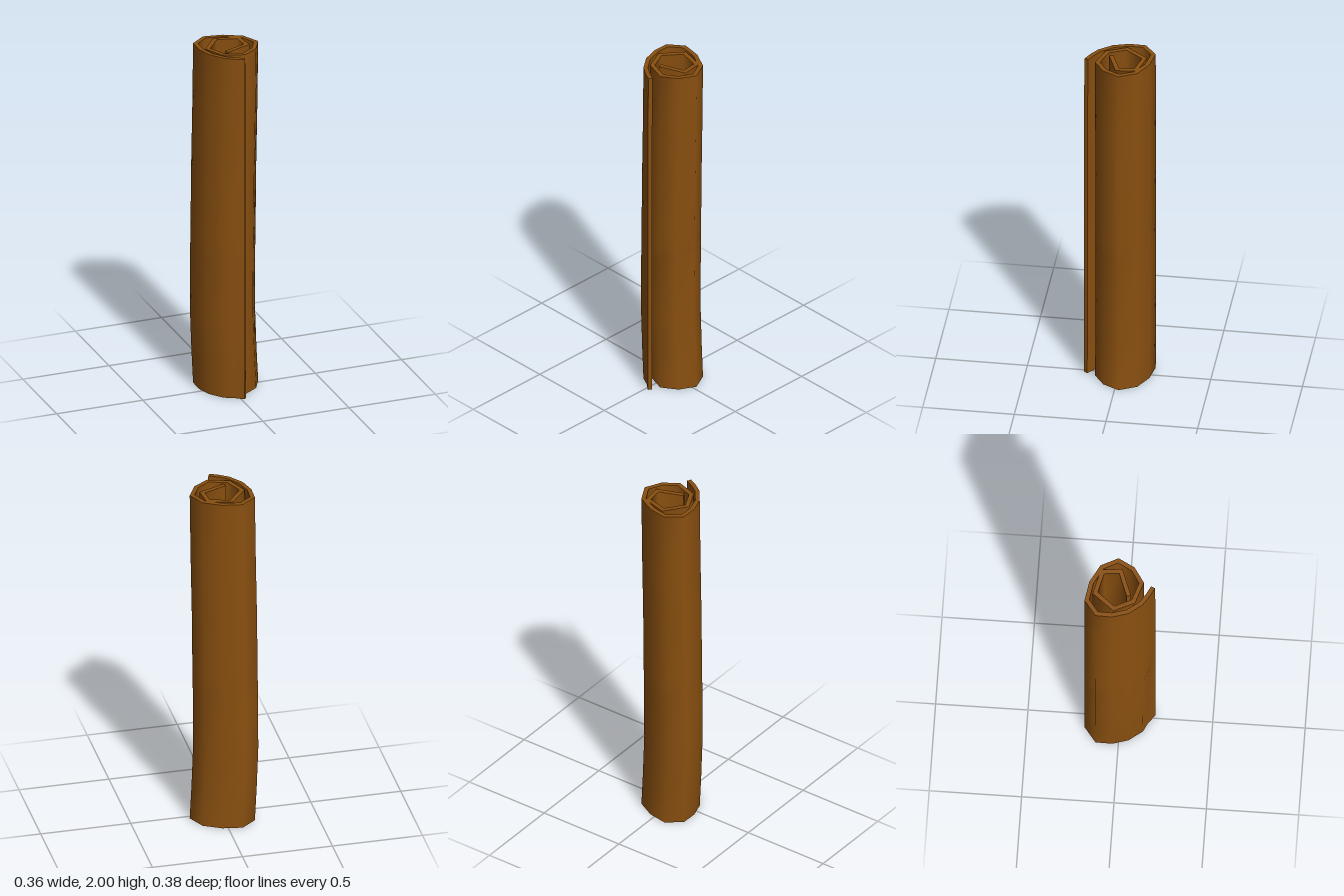
import * as THREE from 'three';

const THICK = 0.024;
// spiral mid-line seen from above (x, z), from the outer flap to the inner curl
const SPIRAL = [
  [0.024, 0.179], [-0.025, 0.15], [-0.072, 0.118], [-0.125, 0.048], [-0.15, -0.035], [-0.148, -0.118],
  [-0.074, -0.176], [0.027, -0.159], [0.120, -0.109], [0.164, -0.022], [0.121, 0.06],
  [0.045, 0.111], [-0.064, 0.075], [-0.112, -0.028], [-0.029, -0.134], [0.094, -0.103],
  [0.104, -0.005], [-0.034, 0.048],
];
// height and sideways bow of each level
const LEVELS = [[0, 0], [0.2, -0.01], [0.45, -0.019], [0.8, -0.017], [0.92, -0.015], [1.25, -0.012], [1.62, -0.005], [2, 0]];

// wall points of one level: offset the mid-line to either side with mitred corners
function section([y, bow]) {
  const mid = SPIRAL.map(([x, z], i) => {
    const v = new THREE.Vector2(i === 0 ? x : x + bow, z);
    if (i === 1 && y < 0.85) v.y -= 0.009; // crease low on the flap
    if (i === 0 && y > 1.9) v.y -= 0.004; // flap curls in at the top
    return v;
  });
  const outer = [], inner = [];
  mid.forEach((p, i) => {
    const a = mid[Math.max(i - 1, 0)], b = mid[Math.min(i + 1, mid.length - 1)];
    const d1 = (i ? p.clone().sub(a) : b.clone().sub(p)).normalize();
    const d2 = (b === p ? p.clone().sub(a) : b.clone().sub(p)).normalize();
    const m = d1.clone().add(d2).normalize();
    const h = THICK / 2 / m.dot(d1);
    outer.push(new THREE.Vector3(p.x + m.y * h, y, p.y - m.x * h));
    inner.push(new THREE.Vector3(p.x - m.y * h, y, p.y + m.x * h));
  });
  return { outer, inner };
}

// surface through rows of points
function sheet(rows) {
  const w = rows[0].length, index = [];
  for (let j = 0; j < rows.length - 1; j++) {
    for (let k = 0; k < w - 1; k++) {
      const a = j * w + k, b = a + 1, c = a + w, d = c + 1;
      index.push(a, c, b, b, c, d);
    }
  }
  const g = new THREE.BufferGeometry().setFromPoints(rows.flat());
  g.setIndex(index);
  g.computeVertexNormals();
  return g;
}

export function createModel() {
  const group = new THREE.Group();
  group.name = 'rolledBarkStick';
  const bark = new THREE.MeshStandardMaterial({ color: 0x8a5010 });
  bark.name = 'bark brown';

  const levels = LEVELS.map(section);
  const n = SPIRAL.length - 1;
  const top = levels[levels.length - 1], bottom = levels[0];
  const parts = {
    outerBark: levels.map((s) => s.outer),
    innerBark: levels.map((s) => [...s.inner].reverse()),
    flapEdge: levels.map((s) => [s.inner[0], s.outer[0]]),
    curlEdge: levels.map((s) => [s.outer[n], s.inner[n]]),
    topRim: [top.outer, top.inner],
    bottomRim: [bottom.inner, bottom.outer],
  };
  for (const [name, rows] of Object.entries(parts)) {
    const mesh = new THREE.Mesh(sheet(rows), bark);
    mesh.name = name;
    group.add(mesh);
  }
  return group;
}
